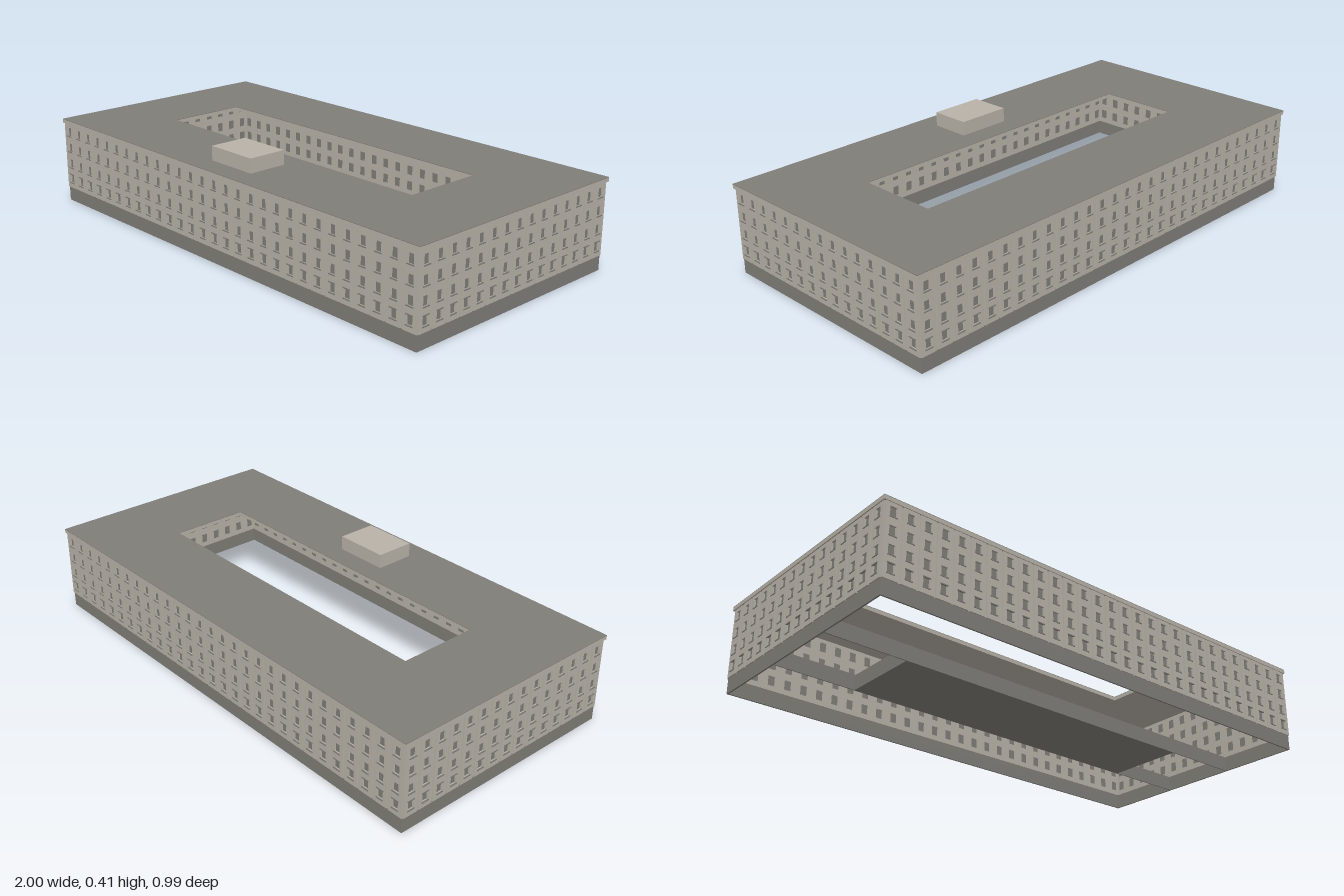
import * as THREE from 'three';
import { mergeGeometries } from 'three/addons/utils/BufferGeometryUtils.js';

const BASE_H = 0.06;      // plinth height
const CORNICE_Y = 0.338;  // underside of the cornice
const ROOF_Y = 0.355;     // top of the roof
const WIN_W = 0.027, WIN_H = 0.038;
const ROWS = [0.1, 0.166, 0.235, 0.304]; // window centre heights
const GAP = 0.006;        // groove between two bays

// Rectangle centred on x, from y0 to y1
function rect(Type, w, y0, y1) {
  return new Type([
    new THREE.Vector2(-w / 2, y0), new THREE.Vector2(w / 2, y0),
    new THREE.Vector2(w / 2, y1), new THREE.Vector2(-w / 2, y1),
  ]);
}

// One upright strip of wall with four window openings
function bayGeometry(width, depth, z) {
  const shape = rect(THREE.Shape, width, BASE_H, CORNICE_Y);
  for (const y of ROWS) shape.holes.push(rect(THREE.Path, WIN_W, y - WIN_H / 2, y + WIN_H / 2));
  return new THREE.ExtrudeGeometry(shape, { depth, bevelEnabled: false }).translate(0, 0, z);
}

// Flat slab with a central courtyard opening
function slabGeometry(w, d, y0, y1) {
  const shape = rect(THREE.Shape, w, -d / 2, d / 2);
  shape.holes.push(rect(THREE.Path, 1.32, -0.16, 0.16));
  return new THREE.ExtrudeGeometry(shape, { depth: y1 - y0, bevelEnabled: false })
    .rotateX(-Math.PI / 2).translate(0, y0, 0);
}

function box(w, h, d, x, y, z) {
  return new THREE.BoxGeometry(w, h, d).translate(x, y, z);
}

export function createModel() {
  const model = new THREE.Group();
  model.name = 'courtyardBuilding';
  const stone = new THREE.MeshStandardMaterial({ color: 0xb8b2a8 });
  stone.name = 'paleStone';
  const grey = new THREE.MeshStandardMaterial({ color: 0x807e78 });
  grey.name = 'darkGrey';

  function add(parent, name, geometry, material) {
    const mesh = new THREE.Mesh(geometry, material);
    mesh.name = name;
    parent.add(mesh);
  }

  // A facade facing +z, its outer face at the given distance, then turned
  function addFacade(name, bays, pitch, dist, angle) {
    const walls = [], panes = [], sills = [];
    for (let i = 0; i < bays; i++) {
      const x = (i - (bays - 1) / 2) * pitch;
      walls.push(bayGeometry(pitch, 0.007, dist - 0.012).translate(x, 0, 0));
      walls.push(bayGeometry(pitch - GAP, 0.005, dist - 0.005).translate(x, 0, 0));
      ROWS.forEach((y, row) => {
        panes.push(box(WIN_W, WIN_H, 0.003, x, y, dist - 0.0095));
        sills.push(box(0.032, 0.004, 0.004, x, y - WIN_H / 2, dist));
        if (row === 0) sills.push(box(0.032, 0.004, 0.004, x, y + WIN_H / 2, dist));
      });
    }
    const facade = new THREE.Group();
    facade.name = name;
    add(facade, 'wallBays', mergeGeometries(walls), stone);
    add(facade, 'windowPanes', mergeGeometries(panes), grey);
    add(facade, 'windowSills', mergeGeometries(sills), grey);
    facade.rotation.y = angle;
    model.add(facade);
  }

  addFacade('frontFacade', 29, 0.0686, 0.492, 0);
  addFacade('backFacade', 29, 0.0686, 0.492, Math.PI);
  addFacade('leftFacade', 15, 0.0651, 0.996, Math.PI / 2);
  addFacade('rightFacade', 15, 0.0651, 0.996, -Math.PI / 2);

  // Plinth: outer walls and the two long walls beside the courtyard
  const plinth = [];
  for (const s of [-1, 1]) {
    plinth.push(box(1.982, BASE_H, 0.006, 0, BASE_H / 2, s * 0.485));
    plinth.push(box(0.006, BASE_H, 0.97, s * 0.988, BASE_H / 2, 0));
    plinth.push(box(1.976, BASE_H, 0.004, 0, BASE_H / 2, s * 0.16));
  }
  add(model, 'plinthWalls', mergeGeometries(plinth), grey);
  add(model, 'courtyardFloor', box(1.32, BASE_H, 0.32, 0, BASE_H / 2, 0), grey);

  // Roof: pale cornice with a thin grey covering, and a rooftop block
  add(model, 'cornice', slabGeometry(2, 0.99, CORNICE_Y, ROOF_Y - 0.002), stone);
  add(model, 'roofCovering', slabGeometry(2, 0.99, ROOF_Y - 0.002, ROOF_Y), grey);
  add(model, 'rooftopBlock', box(0.22, 0.057, 0.158, 0, ROOF_Y + 0.0275, 0.327), stone);

  return model;
}
